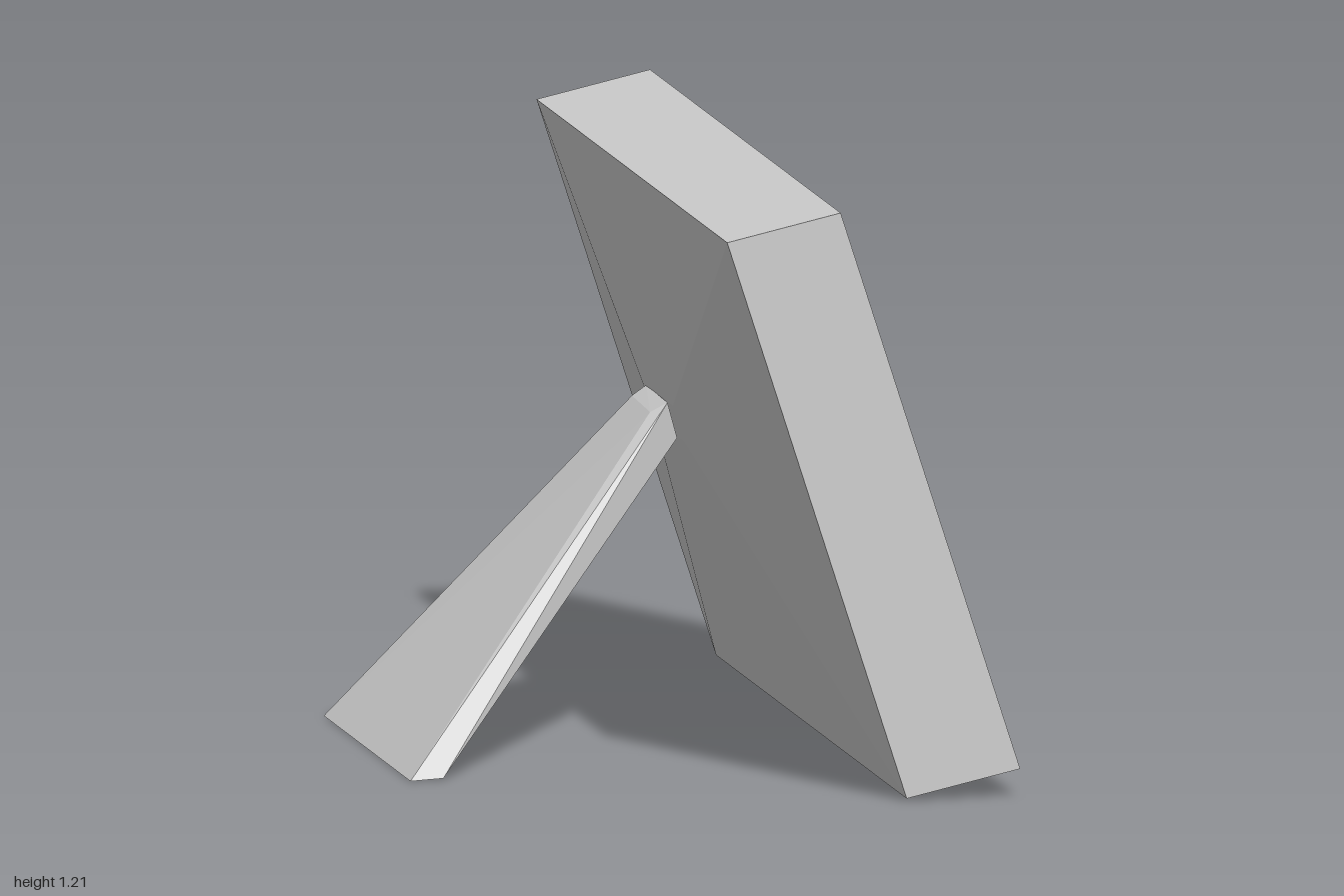
import * as THREE from 'three';
import { ConvexGeometry } from 'three/addons/geometries/ConvexGeometry.js';

const V = (x, y, z) => new THREE.Vector3(x, y, z);

export function createModel() {
  const model = new THREE.Group();
  const material = new THREE.MeshStandardMaterial({ color: 0xcccccc, flatShading: true });
  const add = (name, geometry) => {
    const mesh = new THREE.Mesh(geometry, material);
    mesh.name = name;
    model.add(mesh);
  };

  // Leaning, slightly sheared frame space: width, height and depth each run 0..1
  const origin = V(0.605, 0.005, 0.84);
  const frame = new THREE.Matrix4()
    .makeBasis(V(-0.845, 0, -1.73), V(-0.335, 1.153, 0.16), V(0.21, 0.053, -0.108))
    .setPosition(origin);
  const floor = 0.72; // depth of the recessed screen surface

  // Solid body, whose front is the screen surface
  add('screenBody', new THREE.BoxGeometry(1, 1, floor)
    .translate(0.5, 0.5, floor / 2).applyMatrix4(frame));

  // Raised border around the screen
  const rect = (C, l, b, r, t) => new C([[l, b], [r, b], [r, t], [l, t]]
    .map(([x, y]) => new THREE.Vector2(x, y)));
  const border = rect(THREE.Shape, 0, 0, 1, 1);
  border.holes.push(rect(THREE.Path, 0.062, 0.054, 0.936, 0.943));
  add('bezel', new THREE.ExtrudeGeometry(border, { depth: 1 - floor, bevelEnabled: false })
    .translate(0, 0, floor).applyMatrix4(frame));

  // Shallow pyramid on the back, rising to a small mounting pad
  const backCorners = [[0, 0], [1, 0], [1, 1], [0, 1]]
    .map(([u, v]) => V(u, v, 0).applyMatrix4(frame));
  add('backCover', new ConvexGeometry([
    ...backCorners,
    V(-0.20, 0.59, -0.234), V(-0.07, 0.59, 0.03),
    V(-0.09, 0.665, 0.044), V(-0.222, 0.665, -0.225),
  ]));

  // Flared stand: one five-point side profile at each end
  const nearSide = [
    V(-0.435, 0, 0.84), V(-0.145, 0.645, 0.016), V(-0.11, 0.665, 0.01),
    V(-0.095, 0.59, -0.01), V(-0.375, 0.003, 0.805),
  ];
  const farSide = [
    V(-0.82, 0, 0.05), V(-0.235, 0.645, -0.185), V(-0.21, 0.665, -0.205),
    V(-0.195, 0.59, -0.225), V(-0.76, 0.003, 0.015),
  ];
  add('stand', new ConvexGeometry([...nearSide, ...farSide]));

  return model;
}
